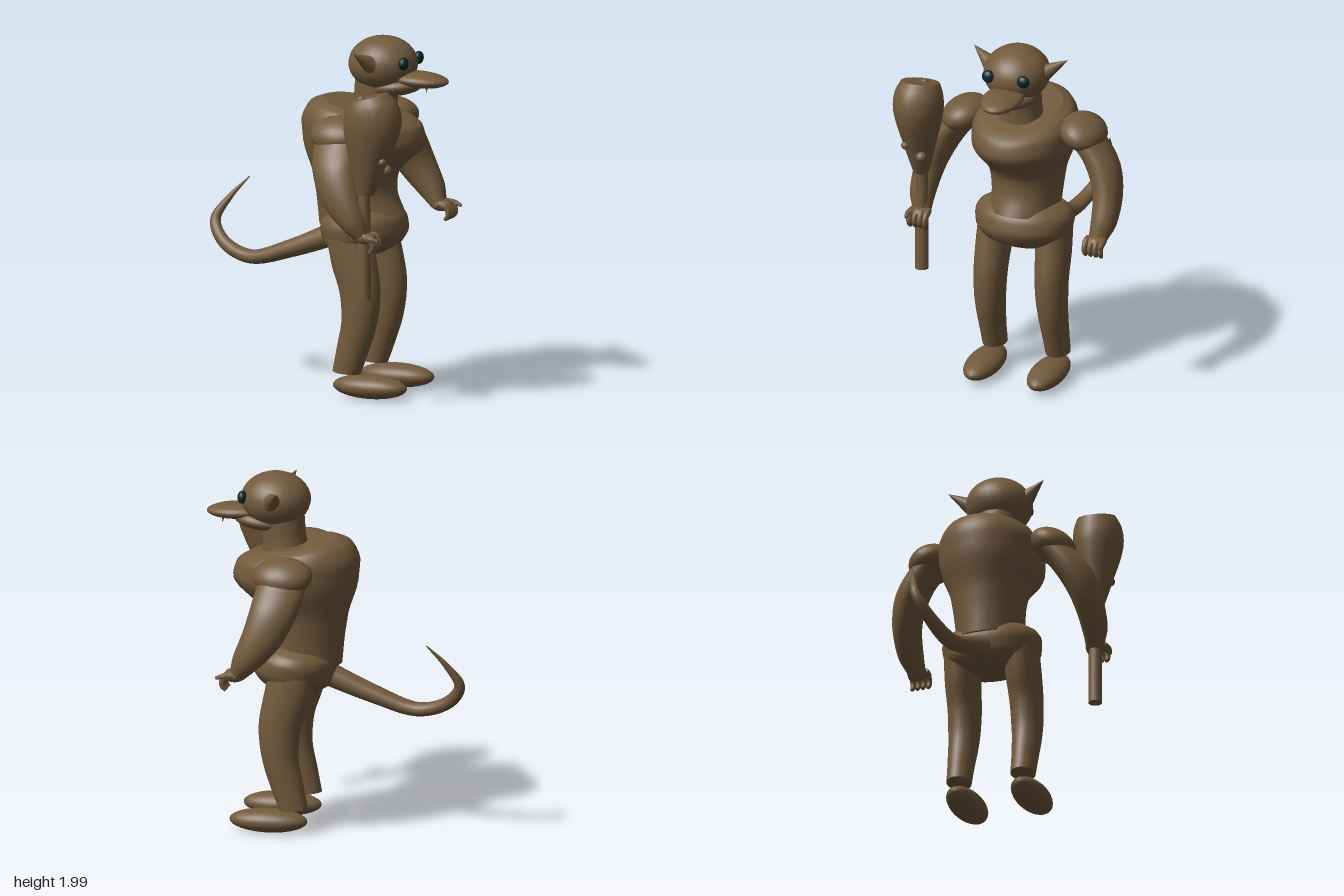
import * as THREE from 'three';

const skin = new THREE.MeshStandardMaterial({ color: 0x725a3c });
skin.name = 'brown hide';
const eyeMat = new THREE.MeshStandardMaterial({ color: 0x06282a });
eyeMat.name = 'dark teal eye';
const MID = -0.02; // z of the body's plane of symmetry

// Smooth skin over elliptical rings [x, y, z, halfDepth, halfWidth, tilt?].
// Without a tilt the ring stands square to the path in the xy plane.
function loft(rings, sides = 28, steps = 4) {
  const pos = new THREE.CatmullRomCurve3(rings.map(r => new THREE.Vector3(r[0], r[1], r[2])));
  const size = new THREE.CatmullRomCurve3(rings.map(r => new THREE.Vector3(r[3], r[4], r[5] ?? 0)));
  const tilted = rings[0].length > 5;
  const n = (rings.length - 1) * steps;
  const verts = [], index = [];
  for (let i = 0; i <= n; i++) {
    const p = pos.getPoint(i / n), s = size.getPoint(i / n), d = pos.getTangent(i / n);
    const l = Math.hypot(d.x, d.y) || 1;
    const ux = tilted ? Math.cos(s.z) : d.y / l, uy = tilted ? Math.sin(s.z) : -d.x / l;
    for (let j = 0; j < sides; j++) {
      const a = (j / sides) * Math.PI * 2, c = Math.cos(a) * s.x;
      verts.push(p.x + ux * c, p.y + uy * c, p.z - Math.sin(a) * s.y);
      if (i < n) {
        const k = (j + 1) % sides, q = i * sides, r = q + sides;
        index.push(q + j, q + k, r + k, q + j, r + k, r + j);
      }
    }
  }
  // Flat end caps with their own corners, so the rims stay sharp
  for (const end of [0, n]) {
    const base = verts.length / 3, p = pos.getPoint(end / n);
    verts.push(...verts.slice(end * sides * 3, (end + 1) * sides * 3), p.x, p.y, p.z);
    for (let j = 0; j < sides; j++) {
      const a = base + j, b = base + (j + 1) % sides;
      index.push(base + sides, end ? a : b, end ? b : a);
    }
  }
  const g = new THREE.BufferGeometry();
  g.setAttribute('position', new THREE.Float32BufferAttribute(verts, 3));
  g.setIndex(index);
  g.computeVertexNormals();
  return g;
}

export function createModel() {
  const model = new THREE.Group();
  model.name = 'tailed creature with club';

  const add = (name, geometry, material = skin) => {
    const m = new THREE.Mesh(geometry, material);
    m.name = name;
    model.add(m);
    return m;
  };
  const ball = (name, x, y, z, rx, ry = rx, rz = rx, material = skin) => {
    const m = add(name, new THREE.SphereGeometry(1, 28, 18), material);
    m.position.set(x, y, z);
    m.scale.set(rx, ry, rz);
    return m;
  };
  // Cone from a base point to a tip
  const spike = (name, from, to, r) => {
    const a = new THREE.Vector3(...from), d = new THREE.Vector3(...to).sub(a);
    const m = add(name, new THREE.ConeGeometry(r, d.length(), 16));
    m.position.copy(a).addScaledVector(d, 0.5);
    m.quaternion.setFromUnitVectors(new THREE.Vector3(0, 1, 0), d.normalize());
  };

  // Trunk: deep chest, narrow waist, hem resting over the pelvis
  add('torso', loft([
    [0.222, 0.977, MID, 0.247, 0.185, 0.17],
    [0.193, 1.1, MID, 0.228, 0.192, 0.12],
    [0.188, 1.23, MID, 0.243, 0.212, 0.06],
    [0.235, 1.4, MID, 0.345, 0.28, 0],
    [0.222, 1.51, MID, 0.342, 0.284, -0.04],
    [0.212, 1.58, MID, 0.285, 0.252, -0.14],
    [0.2, 1.61, MID, 0.195, 0.2, -0.2],
  ], 36));
  add('pelvis', loft([
    [0.28, 0.78, MID, 0.075, 0.11, 0.2],
    [0.268, 0.815, MID, 0.175, 0.205, 0.2],
    [0.248, 0.88, MID, 0.232, 0.268, 0.2],
    [0.23, 0.95, MID, 0.232, 0.28, 0.2],
    [0.207, 1.0, MID, 0.207, 0.258, 0.2],
    [0.19, 1.03, MID, 0.165, 0.205, 0.2],
  ], 36));
  add('neck', loft([
    [0.29, 1.54, MID, 0.135, 0.135, -0.15],
    [0.3, 1.62, MID, 0.122, 0.122, -0.1],
    [0.315, 1.76, MID, 0.125, 0.12, 0],
  ]));
  add('tail', loft([
    [0.1, 0.89, MID, 0.068, 0.068],
    [-0.2, 0.77, -0.02, 0.05, 0.06],
    [-0.45, 0.7, -0.035, 0.039, 0.049],
    [-0.63, 0.76, -0.08, 0.036, 0.038],
    [-0.705, 0.87, -0.13, 0.03, 0.028],
    [-0.64, 0.99, -0.17, 0.017, 0.016],
    [-0.535, 1.11, -0.21, 0.003, 0.003],
  ], 18, 6));

  // Head
  ball('head', 0.348, 1.848, MID, 0.193, 0.152, 0.184);
  ball('snout', 0.56, 1.772, MID, 0.174, 0.044, 0.112).rotation.z = -0.04;
  ball('lowerJaw', 0.425, 1.728, MID, 0.158, 0.056, 0.13).rotation.z = 0.12;

  for (const s of [1, -1]) {
    const side = s > 0 ? 'right' : 'left';
    const z = w => MID + s * w;

    ball(side + 'Eye', 0.515, 1.872, z(0.103), 0.026, 0.036, 0.036, eyeMat);
    spike(side + 'Ear', [0.345, 1.855, z(0.14)], [0.29, 1.942, z(0.28)], 0.056);
    spike(side + 'Tooth', [0.63, 1.755, z(0.06)], [0.635, 1.71, z(0.06)], 0.01);

    // Leg and foot
    add(side + 'Leg', loft([
      [0.21, 0.143, z(0.186), 0.08, 0.068, -0.08],
      [0.245, 0.27, z(0.186), 0.09, 0.073, -0.2],
      [0.283, 0.42, z(0.184), 0.1, 0.082, -0.15],
      [0.288, 0.6, z(0.18), 0.118, 0.09, 0.08],
      [0.25, 0.76, z(0.176), 0.13, 0.096, 0.22],
      [0.22, 0.9, z(0.17), 0.132, 0.098, 0.2],
    ]));
    ball(side + 'Foot', 0.35, 0.072, z(0.188), 0.218, 0.066, 0.096);

    // Shoulder and arm
    ball(side + 'Shoulder', 0.237, 1.503, z(0.35), 0.165, 0.093, 0.13).rotation.x = s * 0.35;
    add(side + 'Arm', loft([
      [0.455, 0.975, z(0.52), 0.045, 0.052],
      [0.41, 1.05, z(0.535), 0.075, 0.07],
      [0.315, 1.2, z(0.522), 0.112, 0.082],
      [0.258, 1.35, z(0.462), 0.13, 0.1],
      [0.233, 1.48, z(0.36), 0.135, 0.105],
    ]));

    // Hand with curled fingers and a thumb
    ball(side + 'Palm', 0.47, 0.972, z(0.52), 0.06, 0.036, 0.056);
    for (let i = 0; i < 4; i++) {
      const w = 0.472 + i * 0.031;
      add(side + 'Finger', loft([
        [0.47, 0.985, z(w), 0.018, 0.016],
        [0.52, 0.965, z(w), 0.018, 0.016],
        [0.53, 0.925, z(w), 0.016, 0.015],
        [0.51, 0.897, z(w), 0.01, 0.01],
      ], 10));
    }
    add(side + 'Thumb', loft([
      [0.46, 0.985, z(0.55), 0.022, 0.02],
      [0.52, 0.978, z(0.572), 0.017, 0.017],
      [0.565, 0.965, z(0.57), 0.009, 0.009],
    ], 10));
  }

  // Club with knobs
  const grip = add('clubHandle', new THREE.CylinderGeometry(0.033, 0.038, 0.62, 18));
  grip.position.set(0.46, 0.94, 0.498);
  add('clubHead', loft([
    [0.468, 1.215, 0.498, 0.052, 0.043, 0],
    [0.489, 1.4, 0.498, 0.11, 0.09, 0.02],
    [0.511, 1.59, 0.498, 0.165, 0.133, 0.1],
    [0.502, 1.7, 0.498, 0.153, 0.13, 0.2],
    [0.48, 1.757, 0.498, 0.122, 0.105, 0.26],
  ], 16, 3));
  for (const [x, y, z, r] of [[0.588, 1.41, 0.545, 0.022], [0.576, 1.35, 0.455, 0.03], [0.44, 1.735, 0.49, 0.026]])
    ball('clubKnob', x, y, z, r);

  return model;
}
